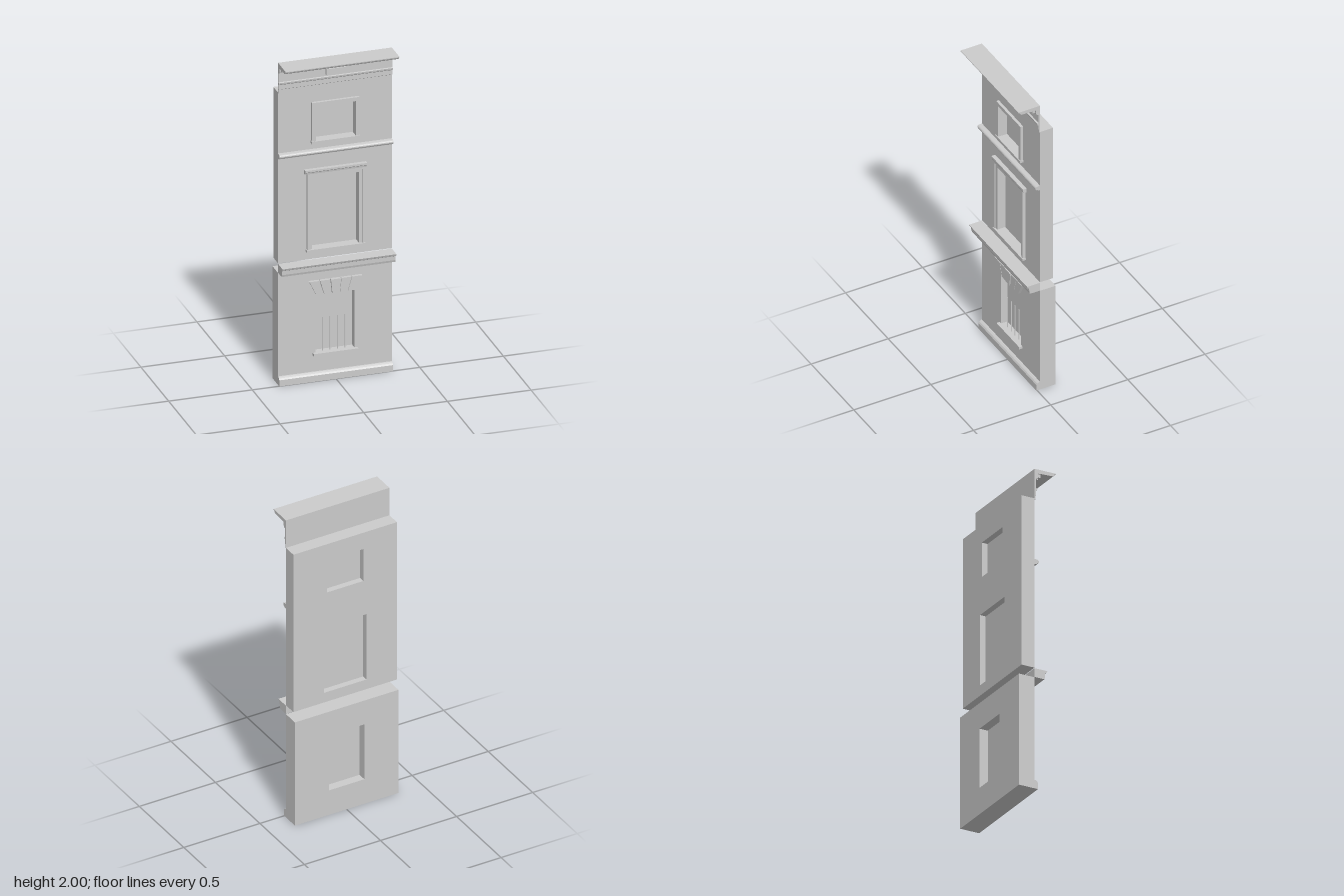
import * as THREE from 'three';

const W = 0.68;        // facade width
const FACE = -0.019;   // z of the wall face
const mat = new THREE.MeshStandardMaterial({ color: 0xcccccc, flatShading: true });

function rectPath(Type, x, y0, y1) {
  const p = new Type();
  p.moveTo(-x, y0); p.lineTo(x, y0); p.lineTo(x, y1); p.lineTo(-x, y1); p.closePath();
  return p;
}

export function createModel() {
  const group = new THREE.Group();

  const add = (name, geo) => {
    const m = new THREE.Mesh(geo, mat);
    m.name = name;
    group.add(m);
    return m;
  };

  const box = (name, x0, x1, y0, y1, z0, z1) => {
    const m = add(name, new THREE.BoxGeometry(x1 - x0, y1 - y0, z1 - z0));
    m.position.set((x0 + x1) / 2, (y0 + y1) / 2, (z0 + z1) / 2);
    return m;
  };

  // Front-facing shape given depth from z0 to z1
  const slab = (name, shape, z0, z1) => {
    const g = new THREE.ExtrudeGeometry(shape, { depth: z1 - z0, bevelEnabled: false });
    return add(name, g.translate(0, 0, z0));
  };

  // Moulding: a (z, y) profile swept along x
  const moulding = (name, pts, width = W) => {
    const shape = new THREE.Shape(pts.map(([z, y]) => new THREE.Vector2(z, y)));
    const g = new THREE.ExtrudeGeometry(shape, { depth: width, bevelEnabled: false });
    return add(name, g.translate(0, 0, -width / 2).rotateY(-Math.PI / 2));
  };

  const frame = (name, [xo, yo0, yo1], [xi, yi0, yi1], z1) => {
    const s = rectPath(THREE.Shape, xo, yo0, yo1);
    s.holes.push(rectPath(THREE.Path, xi, yi0, yi1));
    slab(name, s, FACE, z1);
  };

  // Walls with window openings, panes set inside them
  const wall = (name, y0, y1, back, openings) => {
    const s = rectPath(THREE.Shape, W / 2, y0, y1);
    for (const o of openings) s.holes.push(rectPath(THREE.Path, ...o));
    slab(name, s, back, FACE);
    for (const [x, a, b] of openings) box('windowPane', -x, x, a, b, -0.066, -0.06);
  };
  const lowWin = [0.116, 0.165, 0.535];
  const midWin = [0.14, 0.82, 1.26];
  const topWin = [0.12, 1.49, 1.705];
  wall('lowerWall', 0, 0.695, -0.12, [lowWin]);
  wall('upperWall', 0.755, 1.815, -0.103, [midWin, topWin]);

  // Plinth
  moulding('plinth', [[FACE, 0], [0.004, 0], [0.004, 0.038], [-0.002, 0.047], [-0.012, 0.053], [FACE, 0.054]]);

  // Ground floor window: sill, bars and splayed lintel
  box('lowerSill', -0.133, 0.133, 0.155, 0.17, -0.06, 0.001);
  for (let i = 0; i < 4; i++) {
    const bar = add('windowBar', new THREE.CylinderGeometry(0.003, 0.003, 0.21, 8));
    bar.position.set(-0.069 + i * 0.045, 0.272, -0.035);
  }
  for (let i = 0; i < 5; i++) {
    const b = (k) => -0.118 + 0.0472 * k, t = (k) => -0.16 + 0.064 * k, gap = 0.0015;
    const s = new THREE.Shape([
      new THREE.Vector2(b(i) + gap, 0.535), new THREE.Vector2(b(i + 1) - gap, 0.535),
      new THREE.Vector2(t(i + 1) - gap, 0.62), new THREE.Vector2(t(i) + gap, 0.62),
    ]);
    slab('lintelBlock', s, FACE, i === 2 ? 0.003 : 0);
  }

  // Belt cornice between the floors
  moulding('beltCornice', [
    [FACE, 0.697], [0.046, 0.697], [0.05, 0.71], [0.051, 0.735], [0.06, 0.74], [0.065, 0.752], [FACE, 0.752],
  ]);

  // Main window: stepped frame, hood and sill
  frame('mainOuterFrame', [0.17, 0.815, 1.29], [0.158, 0.82, 1.278], -0.001);
  frame('mainInnerFrame', [0.158, 0.815, 1.278], midWin, -0.008);
  moulding('mainHood', [[FACE, 1.29], [0, 1.29], [0.002, 1.3], [0.006, 1.304], [0.006, 1.316], [FACE, 1.316]], 0.37);
  box('mainSill', -0.175, 0.175, 0.806, 0.82, -0.06, 0.004);

  // Rounded string course
  const string = [[FACE, 1.405], [-0.004, 1.406]];
  for (let i = 0; i <= 8; i++) {
    const a = -Math.PI / 2 + (Math.PI * i) / 8;
    string.push([-0.002 + 0.013 * Math.cos(a), 1.423 + 0.012 * Math.sin(a)]);
  }
  string.push([FACE, 1.437]);
  moulding('stringCourse', string);

  // Attic window: frame and sill
  frame('atticFrame', [0.142, 1.485, 1.728], topWin, -0.002);
  box('atticSill', -0.145, 0.145, 1.475, 1.49, -0.06, 0.003);

  // Crowning entablature
  moulding('crownCornice', [
    [FACE, 1.812], [-0.012, 1.812], [-0.012, 1.835], [-0.008, 1.838], [-0.008, 1.865],
    [-0.002, 1.87], [0, 1.88], [-0.01, 1.882], [-0.01, 1.938], [0.004, 1.945], [0.006, 1.953],
    [0.008, 1.975], [0.035, 1.977], [0.1, 1.979], [0.108, 1.985], [0.112, 1.993], [0.12, 1.996], [0.12, 2], [FACE, 2],
  ]);
  for (let i = 0; i < 22; i++) {
    const x = (i - 10.5) * 0.0307;
    box('dentil', x - 0.009, x + 0.009, 1.955, 1.976, -0.01, 0.025);
  }
  box('friezeBlock', -0.058, 0.058, 1.892, 1.93, -0.015, 0.006);

  return group;
}
